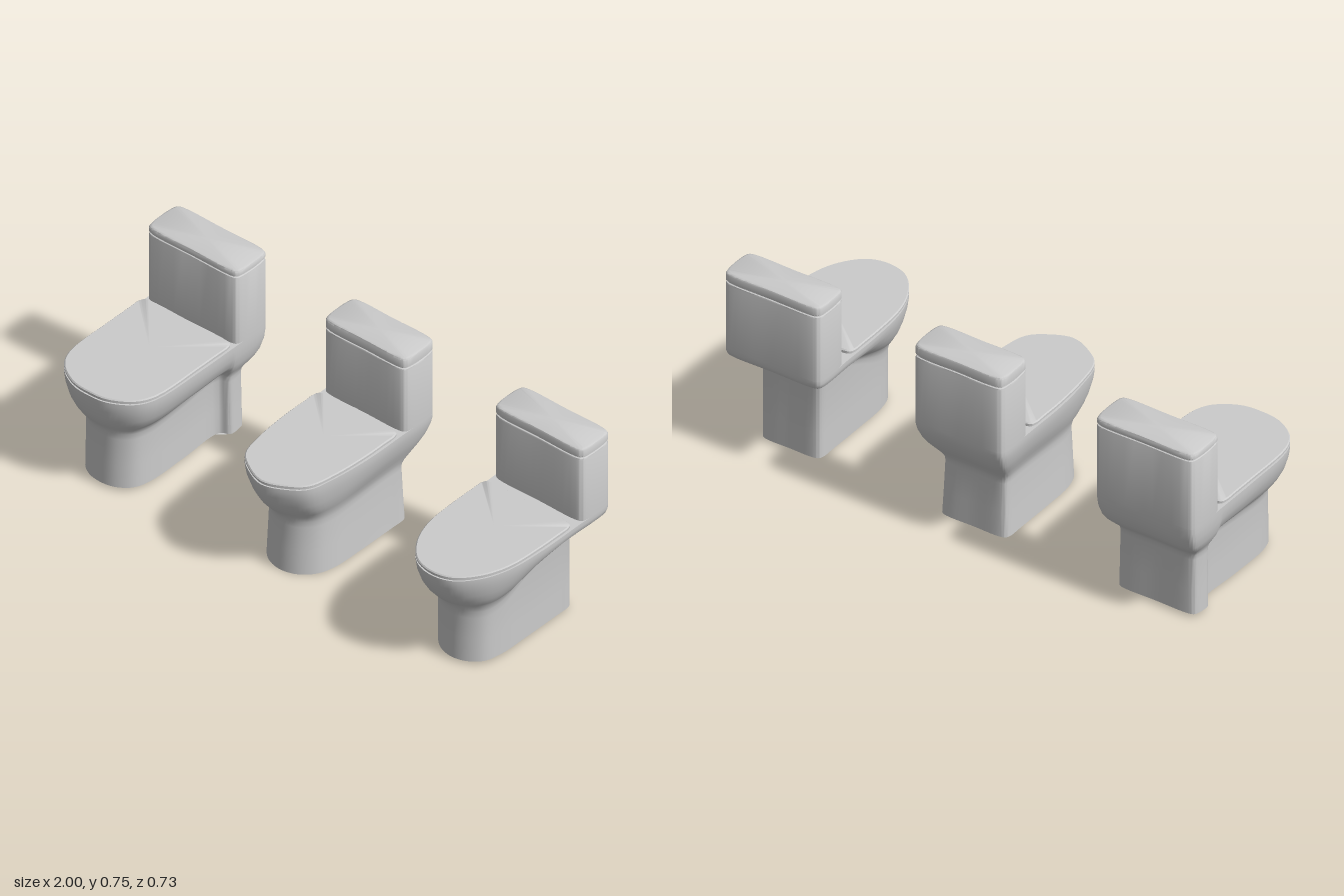
import * as THREE from 'three';
import { toCreasedNormals } from 'three/addons/utils/BufferGeometryUtils.js';

const material = new THREE.MeshStandardMaterial({ color: 0xcccccc });
const lerp = THREE.MathUtils.lerp;

// Mirror half an outline (front centre -> left side -> back centre) and smooth it
function outline(half) {
  const mirrored = half.slice(1, -1).reverse().map(([x, z]) => [-x, z]);
  const pts = [...half, ...mirrored].map(([x, z]) => new THREE.Vector3(x, 0, z));
  const curve = new THREE.CatmullRomCurve3(pts, true, 'centripetal');
  const n = pts.length * 5;
  return Array.from({ length: n }, (_, i) => curve.getPoint(i / n));
}

// Rounded back corner, ending at the centre of the back
const backCorner = (w, zb) => [[w, zb + 0.03], [w - 0.008, zb + 0.008], [w - 0.03, zb], [0, zb]];

// Rounded nose, straight sides, squared back which may step out to wBack at zStep
const bowlHalf = (nose, w, zStep, wBack, zb) =>
  [...nose, [w, 0], [w, zStep], [wBack, zStep - 0.02], ...backCorner(wBack, zb)];

const boxHalf = (w, zf, zb) =>
  [[0, zf], [w - 0.03, zf], [w - 0.008, zf - 0.008], [w, zf - 0.03], ...backCorner(w, zb)];

// Closed skin over a stack of rings, capped at both ends
function loft(name, rings) {
  const n = rings[0].length, pos = [], index = [];
  for (const ring of rings) for (const p of ring) pos.push(p.x, p.y, p.z);
  for (let r = 0; r < rings.length - 1; r++) {
    for (let i = 0; i < n; i++) {
      const a = r * n + i, b = r * n + (i + 1) % n;
      index.push(a, b, b + n, a, b + n, a + n);
    }
  }
  for (const top of [false, true]) {
    const r = top ? rings.length - 1 : 0, ring = rings[r], c = pos.length / 3;
    const mid = ring.reduce((s, p) => s.add(p), new THREE.Vector3()).divideScalar(n);
    pos.push(mid.x, mid.y, mid.z);
    for (let i = 0; i < n; i++) {
      const a = r * n + i, b = r * n + (i + 1) % n;
      index.push(c, top ? a : b, top ? b : a);
    }
  }
  const geo = new THREE.BufferGeometry();
  geo.setAttribute('position', new THREE.Float32BufferAttribute(pos, 3));
  geo.setIndex(index);
  const mesh = new THREE.Mesh(toCreasedNormals(geo, 0.7), material);
  mesh.name = name;
  return mesh;
}

// Slab of one outline; levels are [height, inset]
function slab(name, half, levels) {
  const pts = outline(half);
  const box = new THREE.Box3().setFromPoints(pts);
  const c = box.getCenter(new THREE.Vector3()), s = box.getSize(new THREE.Vector3());
  return loft(name, levels.map(([y, d]) => pts.map(p => new THREE.Vector3(
    p.x * (1 - 2 * d / s.x), y, c.z + (p.z - c.z) * (1 - 2 * d / s.z)))));
}

// How far the skin has moved from pedestal to bowl at each transition level
const blend = [0, 0.03, 0.14, 0.37, 0.6, 0.79, 0.95, 1];
const RIM = 0.43;

function toilet(o) {
  const group = new THREE.Group();
  group.name = o.name;
  group.position.x = o.x;

  // Pedestal flowing into bowl; transition heights differ from front to back
  const rim = outline(bowlHalf(o.rimNose, o.w, -0.17, o.w, o.back));
  const base = outline(bowlHalf(o.baseNose, o.baseW, o.step, o.baseBackW, o.baseBack));
  const levels = [[o.floor, o.floor, 0], [o.floor + 0.1, o.floor + 0.1, 0],
    ...blend.map((t, i) => [o.yFront[i], o.yBack[i], t]), [RIM, RIM, 1]];
  const rings = levels.map(([yf, yb, t]) => base.map((b, i) => {
    const z0 = b.z * (1 - o.taper * 0.5 * yf);
    const z = lerp(z0, rim[i].z, t);
    const s = 1 - THREE.MathUtils.smoothstep(z, -0.14, 0.2);
    return new THREE.Vector3(lerp(b.x * (1 - o.taper * yf), rim[i].x, t), lerp(yf, yb, s), z);
  }));
  group.add(loft('bowlAndPedestal', rings));

  // Thin closed seat cover
  group.add(slab('seatCover', bowlHalf(o.rimNose, o.w - 0.003, -0.08, o.w - 0.003, o.seatBack),
    [[RIM, 0.006], [0.437, 0.006], [0.438, 0], [0.445, 0], [0.449, 0.004]]));

  // Cistern and its lid, parted by a narrow groove
  const tank = boxHalf(o.w, o.tankFront, o.back);
  const y = o.lidBottom;
  group.add(slab('cistern', tank,
    [[RIM, 0], [y - 0.012, 0], [y - 0.007, 0.002], [y - 0.005, 0.006], [y + 0.001, 0.006]]));
  group.add(slab('cisternLid', tank,
    [[y, 0.004], [y + 0.004, 0], [o.top - 0.009, 0], [o.top - 0.003, 0.003], [o.top, 0.01]]));
  return group;
}

export function createModel() {
  const model = new THREE.Group();
  model.name = 'toilets';

  // Broad bowl, pedestal stepped out at the back
  model.add(toilet({
    name: 'wideToilet', x: -0.79, floor: 0.012, w: 0.21, back: -0.365,
    rimNose: [[0, 0.36], [0.08, 0.35], [0.165, 0.295], [0.2, 0.225]],
    baseNose: [[0, 0.295], [0.06, 0.284], [0.11, 0.245], [0.132, 0.18]],
    baseW: 0.134, step: -0.19, baseBackW: 0.168, baseBack: -0.29, taper: 0.1,
    yFront: [0.22, 0.245, 0.265, 0.285, 0.31, 0.34, 0.385, 0.415],
    yBack: [0.24, 0.26, 0.275, 0.293, 0.312, 0.335, 0.375, 0.41],
    seatBack: -0.18, tankFront: -0.195, lidBottom: 0.724, top: 0.75,
  }));

  // Narrow bowl with a tapering nose
  model.add(toilet({
    name: 'narrowToilet', x: 0.005, floor: 0, w: 0.19, back: -0.36,
    rimNose: [[0, 0.355], [0.085, 0.323], [0.147, 0.27], [0.174, 0.16]],
    baseNose: [[0, 0.255], [0.065, 0.238], [0.115, 0.19], [0.138, 0.12]],
    baseW: 0.143, step: -0.17, baseBackW: 0.143, baseBack: -0.265, taper: 0.3,
    yFront: [0.2, 0.225, 0.25, 0.275, 0.305, 0.34, 0.385, 0.415],
    yBack: [0.22, 0.24, 0.26, 0.29, 0.32, 0.35, 0.39, 0.415],
    seatBack: -0.17, tankFront: -0.195, lidBottom: 0.708, top: 0.75,
  }));

  // Oval bowl overhanging a slim straight pedestal
  model.add(toilet({
    name: 'ovalToilet', x: 0.794, floor: 0.01, w: 0.205, back: -0.365,
    rimNose: [[0, 0.363], [0.08, 0.342], [0.15, 0.265], [0.19, 0.16]],
    baseNose: [[0, 0.255], [0.06, 0.24], [0.105, 0.2], [0.124, 0.13]],
    baseW: 0.127, step: -0.17, baseBackW: 0.127, baseBack: -0.25, taper: 0,
    yFront: [0.2, 0.23, 0.26, 0.28, 0.31, 0.345, 0.39, 0.42],
    yBack: [0.32, 0.335, 0.345, 0.357, 0.37, 0.382, 0.397, 0.415],
    seatBack: -0.165, tankFront: -0.208, lidBottom: 0.708, top: 0.745,
  }));
  return model;
}
